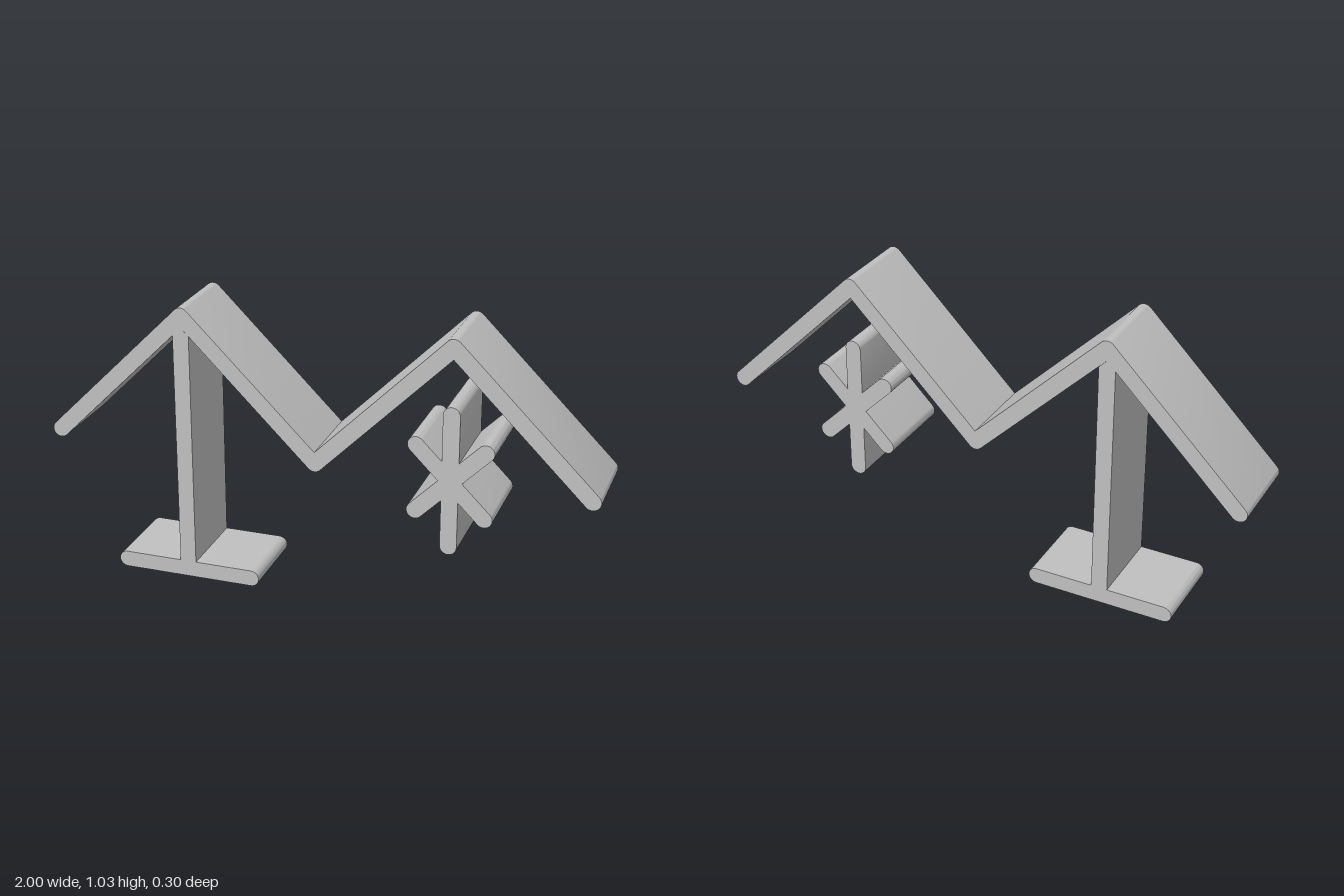
import * as THREE from 'three';
import { toCreasedNormals } from 'three/addons/utils/BufferGeometryUtils.js';

const R = 0.03;       // half the bar thickness
const DEPTH = 0.3;

// Outline around a closed counterclockwise walk along the bar centre lines:
// round at ends and outer corners, sharp at inner corners.
function outline(walk) {
  const pts = [];
  const n = walk.length;
  for (let i = 0; i < n; i++) {
    const p = walk[i];
    const d1 = p.clone().sub(walk[(i + n - 1) % n]).normalize();
    const d2 = walk[(i + 1) % n].clone().sub(p).normalize();
    let turn = Math.atan2(d1.cross(d2), d1.dot(d2));
    if (turn < -Math.PI + 1e-4) turn += 2 * Math.PI;
    if (turn > 0) {
      const start = d1.angle() - Math.PI / 2;
      const steps = Math.ceil(turn / (Math.PI / 14));
      for (let k = 0; k <= steps; k++) {
        const a = start + turn * k / steps;
        pts.push(new THREE.Vector2(p.x + R * Math.cos(a), p.y + R * Math.sin(a)));
      }
    } else {
      const n1 = new THREE.Vector2(d1.y, -d1.x);
      const n2 = new THREE.Vector2(d2.y, -d2.x);
      const s = R / (1 + n1.dot(n2));
      pts.push(n1.add(n2).multiplyScalar(s).add(p));
    }
  }
  return pts;
}

function slab(name, pts, material) {
  const geo = new THREE.ExtrudeGeometry(new THREE.Shape(pts), { depth: DEPTH, bevelEnabled: false });
  geo.translate(0, 0, -DEPTH / 2);
  const mesh = new THREE.Mesh(toCreasedNormals(geo, 0.5), material);
  mesh.name = name;
  return mesh;
}

export function createModel() {
  const group = new THREE.Group();
  group.name = 'zigzagStand';
  const grey = new THREE.MeshStandardMaterial({ color: 0xc0c0c0 });
  grey.name = 'grey';
  const v = (x, y) => new THREE.Vector2(x, y);

  // zigzag roof with two peaks
  const path = [v(-0.97, 0.518), v(-0.485, 1.001), v(0, 0.518), v(0.485, 1.001), v(0.97, 0.518)];
  group.add(slab('zigzagRoof', outline([...path, ...path.slice(1, -1).reverse()]), grey));

  // foot and the post that fits under the left peak
  const px = -0.487;
  group.add(slab('foot', outline([v(px - 0.243, 0.031), v(px + 0.243, 0.031)]), grey));
  group.add(slab('post', [
    v(px - R, 0.06), v(px + R, 0.06), v(px + R, 0.93), v(px, 0.96), v(px - R, 0.93),
  ], grey));

  // six-armed star hanging free under the other peak
  const centre = v(0.484, 0.519);
  const walk = [];
  for (const deg of [45, 90, 135, 225, 270, 315]) {
    const a = THREE.MathUtils.degToRad(deg);
    const len = deg % 180 === 90 ? 0.242 : 0.172;
    walk.push(v(centre.x + len * Math.cos(a), centre.y + len * Math.sin(a)), centre);
  }
  group.add(slab('star', outline(walk), grey));

  return group;
}
